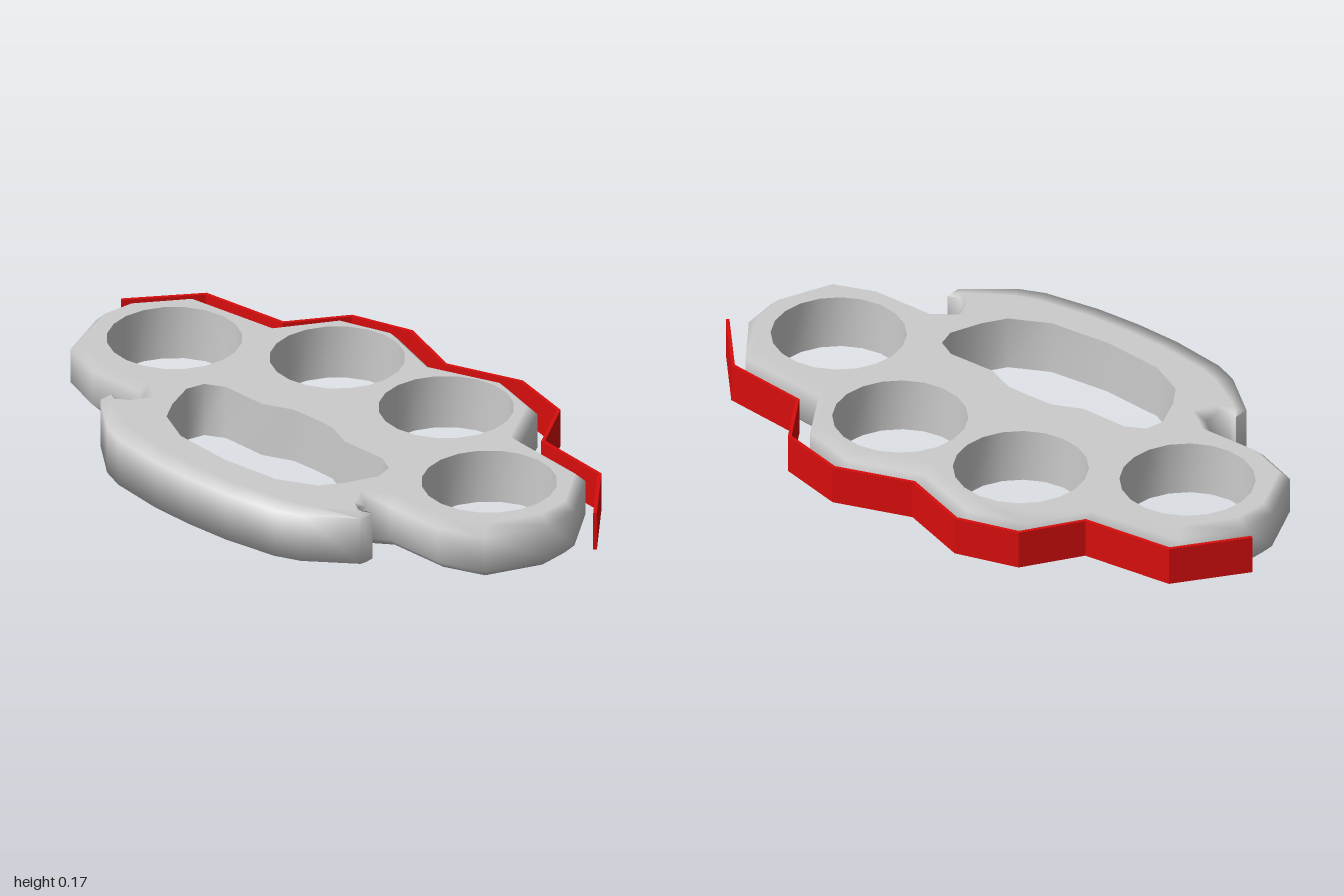
import * as THREE from 'three';
import { toCreasedNormals } from 'three/addons/utils/BufferGeometryUtils.js';

const H = 0.172, CX = -0.005;

// mirror a half outline [x, z, ...] (first and last points on the axis) into a closed loop
function mirrorLoop(half) {
  const left = half.slice(1, -1).reverse().map(([x, ...rest]) => [-x, ...rest]);
  return [...half, ...left].map(([x, ...rest]) => [x + CX, ...rest]);
}

// move each point sideways by amount(i), with mitred corners
function offset(pts, amount, closed = true) {
  const n = pts.length;
  const normal = (a, b) => new THREE.Vector2(a[1] - b[1], b[0] - a[0]).normalize();
  return pts.map((p, i) => {
    const prev = closed || i > 0 ? normal(pts[(i + n - 1) % n], p) : null;
    const next = closed || i < n - 1 ? normal(p, pts[(i + 1) % n]) : null;
    const a = prev || next, b = next || prev;
    const m = a.clone().add(b).normalize();
    const k = amount(i) / Math.max(m.dot(a), 0.6);
    return [p[0] + m.x * k, p[1] + m.y * k];
  });
}

// skin a stack of closed loops of [x, y, z]
function skin(loops, inward, crease) {
  const n = loops[0].length, index = [];
  for (let k = 0; k < loops.length - 1; k++) {
    for (let i = 0; i < n; i++) {
      const j = (i + 1) % n;
      const a = k * n + i, b = k * n + j, c = a + n, d = b + n;
      if (inward) index.push(a, b, d, a, d, c);
      else index.push(a, d, b, a, c, d);
    }
  }
  const g = new THREE.BufferGeometry();
  g.setAttribute('position', new THREE.Float32BufferAttribute(loops.flat(2), 3));
  g.setIndex(index);
  return toCreasedNormals(g, crease);
}

// flat face with holes, facing up (side 1) or down (side -1)
function cap(outline, holes, side, y) {
  const toVec = pts => pts.map(([x, z]) => new THREE.Vector2(x, -side * z));
  const shape = new THREE.Shape(toVec(outline));
  shape.holes = holes.map(h => new THREE.Path(toVec(h)));
  return new THREE.ShapeGeometry(shape).rotateX(-side * Math.PI / 2).translate(0, y, 0);
}

export function createModel() {
  const group = new THREE.Group();
  const grey = new THREE.MeshStandardMaterial({ color: 0xcccccc });
  const red = new THREE.MeshStandardMaterial({ color: 0xd80d0d });
  const add = (name, geometry, material) => {
    const mesh = new THREE.Mesh(geometry, material);
    mesh.name = name;
    group.add(mesh);
  };

  // plate outline: x, z, bevel inset, bevel drop
  const outline = mirrorLoop([
    [0, -0.45, 0.03, 0.03], [0.23, -0.53, 0.03, 0.03], [0.415, -0.475, 0.03, 0.03],
    [0.52, -0.3, 0.03, 0.03], [0.825, -0.267, 0.03, 0.03], [0.945, -0.1, 0.03, 0.03],
    [0.955, 0.02, 0.03, 0.03], [0.875, 0.21, 0.03, 0.03], [0.73, 0.265, 0.03, 0.03],
    [0.53, 0.265, 0.03, 0.03], [0.475, 0.31, 0.035, 0.03], [0.485, 0.355, 0.012, 0.015],
    [0.515, 0.375, 0.012, 0.01], [0.55, 0.36, 0.012, 0.01], [0.55, 0.41, 0.035, 0.01],
    [0.41, 0.522, 0.055, 0.01], [0.33, 0.555, 0.06, 0.01], [0.15, 0.582, 0.06, 0.01],
    [0, 0.588, 0.06, 0.01],
  ]);
  const inner = offset(outline, i => outline[i][2]);

  // bevelled rim, its normals blending into the flat faces
  const rim = skin([
    inner.map(([x, z]) => [x, 0, z]),
    outline.map(([x, z, , drop]) => [x, drop, z]),
    outline.map(([x, z, , drop]) => [x, H - drop, z]),
    inner.map(([x, z]) => [x, H, z]),
  ], false, 1.45);
  const pos = rim.attributes.position;
  for (let i = 0; i < pos.count; i++) {
    const y = pos.getY(i);
    if (y < 1e-4) rim.attributes.normal.setXYZ(i, 0, -1, 0);
    if (y > H - 1e-4) rim.attributes.normal.setXYZ(i, 0, 1, 0);
  }
  add('plateRim', rim, grey);

  // four finger holes and the grip opening
  const circle = (cx, cz) => Array.from({ length: 20 }, (_, i) => {
    const a = i * Math.PI / 10;
    return [cx + CX + 0.204 * Math.cos(a), cz + 0.204 * Math.sin(a)];
  });
  const holes = [
    ...[-1, 1].flatMap(s => [circle(s * 0.665, -0.02), circle(s * 0.23, -0.274)]),
    mirrorLoop([
      [0, 0.058], [0.08, 0.06], [0.175, 0.1], [0.33, 0.098], [0.39, 0.13], [0.405, 0.19],
      [0.365, 0.29], [0.32, 0.36], [0.2, 0.42], [0, 0.437],
    ]),
  ];
  holes.forEach((h, i) => add(i < 4 ? 'fingerHoleWall' : 'gripOpeningWall',
    skin([0, H].map(y => h.map(([x, z]) => [x, y, z])), true, 0.9), grey));

  // flat faces
  add('plateTop', cap(inner, holes, 1, H), grey);
  add('plateBottom', cap(inner, holes, -1, 0), grey);

  // thin zigzag strip behind the plate
  const path = [
    [-1, -0.125], [-0.845, -0.332], [-0.55, -0.362], [-0.435, -0.538], [-0.235, -0.594], [-0.01, -0.512],
    [0.23, -0.594], [0.445, -0.538], [0.555, -0.362], [0.825, -0.33], [1, -0.135],
  ];
  const strip = [...path, ...offset(path, () => 0.011, false).reverse()];
  const stripShape = new THREE.Shape(strip.map(([x, z]) => new THREE.Vector2(x, -z)));
  add('edgeStrip', new THREE.ExtrudeGeometry(stripShape, { depth: 0.122, bevelEnabled: false })
    .rotateX(-Math.PI / 2).translate(0, 0.025, 0), red);

  return group;
}
